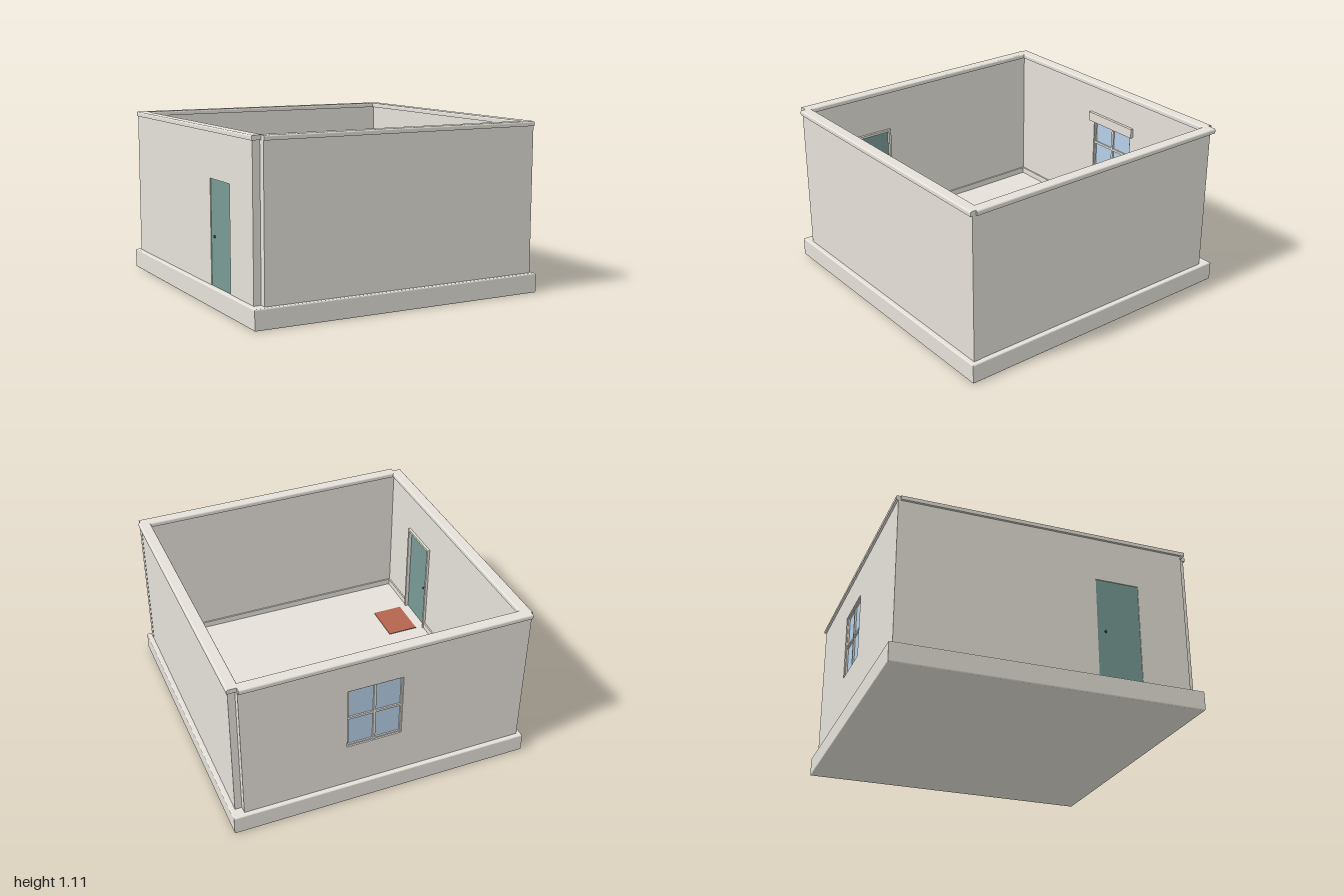
import * as THREE from 'three';

const mat = (name, color) => {
  const m = new THREE.MeshStandardMaterial({ color });
  m.name = name;
  return m;
};

export function createModel() {
  const stone = mat('warm grey plaster', 0xe5e1d9);
  const glass = mat('pale blue glass', 0xb8d2ea);
  const teal = mat('teal door paint', 0x789a95);
  const rust = mat('rust red mat', 0xb4644f);
  const dark = mat('dark handle metal', 0x3a3a3a);

  const model = new THREE.Group();
  model.name = 'roomShell';

  const add = (name, geometry, material, parent = model) => {
    const mesh = new THREE.Mesh(geometry, material);
    mesh.name = name;
    parent.add(mesh);
    return mesh;
  };

  // Box given by its lowest and highest corners
  const box = (name, [x0, y0, z0], [x1, y1, z1], material, parent) => {
    const mesh = add(name, new THREE.BoxGeometry(x1 - x0, y1 - y0, z1 - z0), material, parent);
    mesh.position.set((x0 + x1) / 2, (y0 + y1) / 2, (z0 + z1) / 2);
    return mesh;
  };

  const rectPoints = (x0, y0, x1, y1) => [
    new THREE.Vector2(x0, y0), new THREE.Vector2(x1, y0),
    new THREE.Vector2(x1, y1), new THREE.Vector2(x0, y1),
  ];

  const IN = 0.923, OUT = 0.97, BASE = 0.128, TOP = 1.08;

  // Plinth: bevelled square slab whose top is also the floor
  const plinthGeo = new THREE.ExtrudeGeometry(new THREE.Shape(rectPoints(-0.992, -0.992, 0.992, 0.992)), {
    depth: BASE - 0.016, bevelEnabled: true, bevelSize: 0.008, bevelThickness: 0.008, bevelSegments: 3,
  });
  plinthGeo.rotateX(-Math.PI / 2).translate(0, 0.008, 0);
  add('plinth', plinthGeo, stone);

  // Openings: back window (x range) and side door (z range)
  const win = { x0: -0.12, x1: 0.245, y0: 0.433, y1: 0.875 };
  const door = { z0: 0.31, z1: 0.6, y1: 0.793 };

  // Front and right walls, solid
  box('frontWall', [-IN, BASE, IN], [OUT, TOP, OUT], stone);
  box('rightSideWall', [IN, BASE, -IN], [OUT - 0.002, TOP, IN], stone);

  // Back wall with the window hole
  const backShape = new THREE.Shape(rectPoints(-OUT, BASE, IN, TOP));
  backShape.holes.push(new THREE.Path(rectPoints(win.x0, win.y0, win.x1, win.y1)));
  const backGeo = new THREE.ExtrudeGeometry(backShape, { depth: OUT - IN, bevelEnabled: false });
  add('backWall', backGeo.translate(0, 0, -OUT), stone);

  // Door wall, notched from the floor; shape x becomes -z
  const doorShape = new THREE.Shape([
    [-IN, BASE], [-door.z1, BASE], [-door.z1, door.y1], [-door.z0, door.y1],
    [-door.z0, BASE], [IN, BASE], [IN, TOP], [-IN, TOP],
  ].map(([x, y]) => new THREE.Vector2(x, y)));
  const doorGeo = new THREE.ExtrudeGeometry(doorShape, { depth: OUT - IN, bevelEnabled: false });
  add('doorWall', doorGeo.rotateY(Math.PI / 2).translate(-OUT, 0, 0), stone);

  // Skirting boards round the floor, broken at the door
  const SK = 0.913, skTop = 0.17;
  box('frontSkirting', [-IN, BASE, SK], [IN, skTop, IN], stone);
  box('backSkirting', [-IN, BASE, -IN], [IN, skTop, -SK], stone);
  box('rightSideSkirting', [SK, BASE, -SK], [IN, skTop, SK], stone);
  for (const [z0, z1] of [[-SK, 0.298], [0.616, SK]])
    box('doorSideSkirting', [-IN, BASE, z0], [-SK, skTop, z1], stone);

  // Rounded coping along the wall tops
  const half = 0.0375, h = 0.03, r = 0.01;
  const cap = new THREE.Shape();
  cap.moveTo(-half, 0);
  cap.lineTo(half, 0);
  cap.lineTo(half, h - r);
  cap.absarc(half - r, h - r, r, 0, Math.PI / 2, false);
  cap.absarc(-half + r, h - r, r, Math.PI / 2, Math.PI, false);
  cap.closePath();
  const coping = (name, from, to, offset, alongX) => {
    const geo = new THREE.ExtrudeGeometry(cap, { depth: to - from, bevelEnabled: false, curveSegments: 5 });
    geo.translate(0, 0, from);
    if (alongX) geo.rotateY(Math.PI / 2);
    geo.translate(alongX ? 0 : offset, TOP, alongX ? offset : 0);
    add(name, geo, stone);
  };
  coping('frontCoping', -0.925, 0.97, 0.945, true);
  coping('backCoping', -0.97, 0.92, -0.947, true);
  coping('doorSideCoping', -0.955, 0.945, -0.947, false);
  coping('rightSideCoping', -0.955, 0.945, 0.944, false);

  // Window: slim frame, glazing bars and glass
  const windowGroup = new THREE.Group();
  windowGroup.name = 'window';
  model.add(windowGroup);
  const f = 0.01, b = 0.016, zf0 = -0.962, zf1 = -0.932;
  const mx = (win.x0 + win.x1) / 2, my = (win.y0 + win.y1) / 2;
  for (const [x, w] of [[win.x0, f], [mx - b / 2, b], [win.x1 - f, f]])
    box('windowUpright', [x, win.y0, zf0], [x + w, win.y1, zf1], stone, windowGroup);
  for (const [y, w] of [[win.y0, f], [my - b / 2, b], [win.y1 - f, f]])
    box('windowRail', [win.x0, y, zf0 + 0.002], [win.x1, y + w, zf1 - 0.002], stone, windowGroup);
  box('windowGlass', [win.x0, win.y0, -0.95], [win.x1, win.y1, -0.944], glass, windowGroup);
  box('windowSill', [-0.17, 0.42, -0.925], [0.29, 0.436, -0.84], stone, windowGroup);
  box('windowHeader', [-0.155, 0.82, -0.925], [0.275, 0.885, -0.902], stone, windowGroup);

  // Door with inner casing and a knob on each side
  const doorGroup = new THREE.Group();
  doorGroup.name = 'door';
  model.add(doorGroup);
  box('doorLeaf', [-0.965, BASE, door.z0], [-0.93, door.y1, door.z1], teal, doorGroup);
  for (const [z0, z1] of [[0.298, 0.314], [0.6, 0.616]])
    box('doorCasing', [-0.925, BASE, z0], [-0.906, door.y1, z1], stone, doorGroup);
  box('doorCasingHead', [-0.925, door.y1, 0.298], [-0.906, door.y1 + 0.016, 0.616], stone, doorGroup);
  for (const x of [-0.968, -0.927]) {
    const knob = add('doorKnob', new THREE.SphereGeometry(0.008, 12, 8), dark, doorGroup);
    knob.position.set(x, 0.44, 0.365);
  }

  // Mat inside the door
  box('doorMat', [-0.86, BASE, 0.32], [-0.648, BASE + 0.005, 0.598], rust);

  return model;
}
